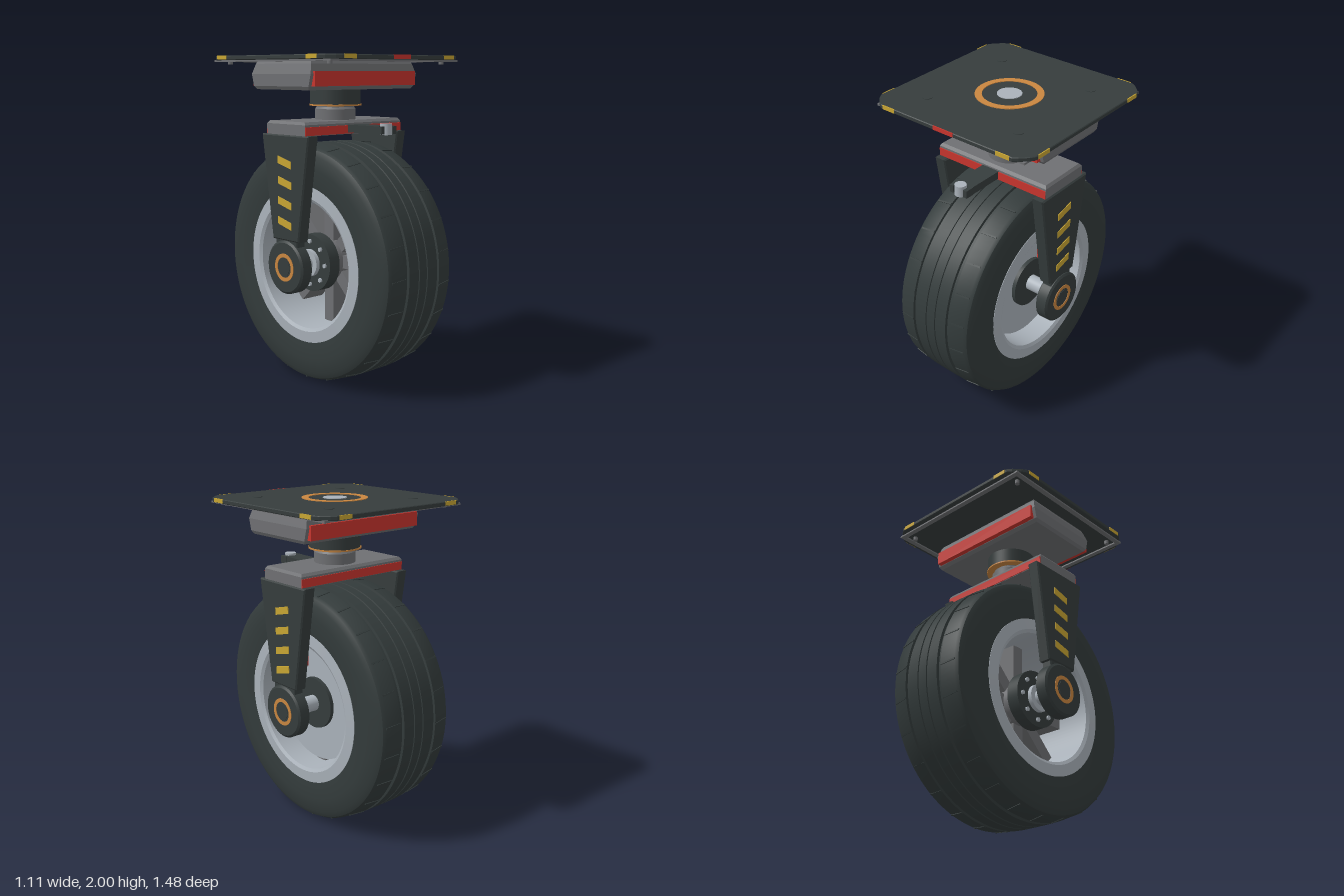
import * as THREE from 'three';
import { toCreasedNormals } from 'three/addons/utils/BufferGeometryUtils.js';
import { ConvexGeometry } from 'three/addons/geometries/ConvexGeometry.js';

const mat = (name, color) => Object.assign(new THREE.MeshStandardMaterial({ color }), { name });

export function createModel() {
  const M = {
    dark: mat('charcoal paint', 0x363d3d),
    rubber: mat('tyre rubber', 0x333b3b),
    grey: mat('grey steel', 0x6f7073),
    silver: mat('silver metal', 0xaab2ba),
    red: mat('red paint', 0xc9352e),
    orange: mat('bronze orange', 0xc98640),
    yellow: mat('warning yellow', 0xc9a633),
  };
  const model = new THREE.Group();
  model.name = 'casterWheel';
  const wheelY = 0.742;

  const add = (name, geo, m, x = 0, y = 0, z = 0, parent = model) => {
    const mesh = new THREE.Mesh(geo, m);
    mesh.name = name;
    mesh.position.set(x, y, z);
    parent.add(mesh);
    return mesh;
  };
  const box = (w, h, d) => new THREE.BoxGeometry(w, h, d);
  const cyl = (r, h, n = 48) => new THREE.CylinderGeometry(r, r, h, n);
  const cylX = (r, h, n = 48) => cyl(r, h, n).rotateZ(-Math.PI / 2);
  const lathe = (pts, n = 96) => toCreasedNormals(
    new THREE.LatheGeometry(pts.map(p => new THREE.Vector2(...p)), n), 0.5);
  const latheX = (pts, n) => lathe(pts, n).rotateZ(-Math.PI / 2);
  // flat ring of height h around the y axis
  const ring = (ri, ro, h) => lathe([[ri, -h / 2], [ro, -h / 2], [ro, h / 2], [ri, h / 2], [ri, -h / 2]], 64);
  // convex solid from rectangles [y, halfX, halfZ]
  const stack = levels => new ConvexGeometry(levels.flatMap(([y, a, b]) =>
    [[a, b], [a, -b], [-a, b], [-a, -b]].map(([x, z]) => new THREE.Vector3(x, y, z))));
  // outline in the side plane (u = -z, v = y), given a thickness along x and centred
  const sidePlate = (pts, t, bevel = 0) => {
    const g = new THREE.ExtrudeGeometry(new THREE.Shape(pts.map(p => new THREE.Vector2(...p))), {
      depth: t - 2 * bevel, bevelEnabled: bevel > 0, bevelSize: bevel, bevelOffset: -bevel,
      bevelThickness: bevel, bevelSegments: 1 });
    return g.translate(0, 0, bevel - t / 2).rotateY(Math.PI / 2);
  };

  // Mounting plate with clipped corners
  const a = 0.555, c = 0.465, m = 0.535, n = 0.495;
  const outline = [[a, c], [m, n], [n, m], [c, a], [-c, a], [-n, m], [-m, n], [-a, c],
    [-a, -c], [-m, -n], [-n, -m], [-c, -a], [c, -a], [n, -m], [m, -n], [a, -c]];
  const plate = new THREE.ExtrudeGeometry(new THREE.Shape(outline.map(p => new THREE.Vector2(...p))), {
    depth: 0.018, bevelEnabled: true, bevelSize: 0.004, bevelOffset: -0.004, bevelThickness: 0.004, bevelSegments: 1 });
  add('topPlate', plate.rotateX(-Math.PI / 2), M.dark, 0, 1.976, 0);
  add('topBronzeRing', ring(0.157, 0.197, 0.006), M.orange, 0, 1.999, 0);
  add('topPin', cyl(0.072, 0.006), M.silver, 0, 1.999, 0);
  for (const s of [-1, 1]) {
    add('plateFrameSide', box(0.03, 0.012, 1.05), M.grey, s * 0.51, 1.968, 0);
    add('plateFrameEnd', box(0.99, 0.012, 0.03), M.grey, 0, 1.968, s * 0.51);
    for (const t of [-1, 1]) {
      add('plateScrew', cyl(0.03, 0.004, 32), M.dark, s * 0.327, 1.999, t * 0.327);
      add('underBolt', cyl(0.015, 0.03, 12), M.grey, s * 0.46, 1.962, t * 0.45);
      add('yellowEdgeMark', box(0.09, 0.024, 0.006), M.yellow, s * 0.405, 1.987, t * 0.554);
      add('yellowEdgeMark', box(0.006, 0.024, 0.09), M.yellow, t * 0.554, 1.987, s * 0.405);
    }
  }
  add('redEdgeMark', box(0.14, 0.024, 0.006), M.red, 0, 1.987, 0.554);

  // Swivel housing and red panels
  add('swivelHousing', stack([[1.8, 0.425, 0.232], [1.82, 0.437, 0.248], [1.89, 0.437, 0.266],
    [1.95, 0.418, 0.25], [1.978, 0.405, 0.235]]), M.grey);
  for (const s of [-1, 1]) add('housingRedPanel', box(0.83, 0.085, 0.04), M.red, 0, 1.865, s * 0.26);

  // Swivel bearing
  add('bearingCup', cyl(0.155, 0.095, 64), M.dark, 0, 1.755, 0);
  add('bearingBronzeRing', cyl(0.16, 0.009, 64), M.orange, 0, 1.704, 0);
  add('swivelNeck', lathe([[0, 1.6], [0.125, 1.6], [0.125, 1.68], [0.115, 1.692], [0.115, 1.705]], 64), M.grey);

  // Fork crown
  add('forkCrown', stack([[1.535, 0.4, 0.172], [1.6, 0.4, 0.172], [1.616, 0.388, 0.158]]), M.grey);
  for (const s of [-1, 1]) add('crownRedStripe', box(0.796, 0.05, 0.008), M.red, 0, 1.563, s * 0.173);

  // Brake lever at the front
  add('leverArm', box(0.12, 0.046, 0.26), M.dark, 0, 1.568, 0.28);
  for (const s of [-1, 1]) add('leverProng', box(0.026, 0.046, 0.06), M.dark, s * 0.05, 1.568, 0.425);
  add('leverPin', cyl(0.035, 0.065, 32), M.silver, 0, 1.573, 0.433);

  // Fork legs with axle bosses and warning stripes
  for (const s of [-1, 1]) {
    const leg = new THREE.Group();
    leg.name = s > 0 ? 'leftForkLeg' : 'rightForkLeg';
    model.add(leg);
    add('legBlade', sidePlate([[-0.118, 0.905], [0.118, 0.905], [0.212, 1.537], [-0.212, 1.537]], 0.08, 0.008),
      M.dark, s * 0.37, 0, 0, leg);
    add('legNeck', sidePlate([[-0.1, 0.74], [0.1, 0.74], [0.096, 0.92], [-0.096, 0.92]], 0.066, 0.005),
      M.dark, s * 0.37, 0, 0, leg);
    add('axleBoss', latheX([[0, -0.043], [0.15, -0.043], [0.163, -0.033], [0.163, 0.033], [0.15, 0.043], [0, 0.043]], 64),
      M.dark, s * 0.376, wheelY, 0, leg);
    add('bossBronzeRing', ring(0.062, 0.085, 0.008).rotateZ(-Math.PI / 2), M.orange, s * 0.418, wheelY, 0, leg);
    add('axleNut', cylX(0.055, 0.008, 6), M.dark, s * 0.418, wheelY, 0, leg);
    for (let i = 0; i < 4; i++)
      add('warningStripe', sidePlate([[-0.06, -0.037], [0.06, -0.007], [0.06, 0.037], [-0.06, 0.007]], 0.006),
        M.yellow, s * 0.411, 1.01 + i * 0.1217, 0, leg);
  }
  add('brakePad', box(0.055, 0.14, 0.16), M.red, 0.307, 1.1, 0);

  // Wheel
  const wheel = new THREE.Group();
  wheel.name = 'wheel';
  wheel.position.y = wheelY;
  model.add(wheel);

  // Tyre: half profile [radius, x] mirrored, with round grooves
  const half = [[0.738, 0.029], [0.732, 0.031], [0.732, 0.038], [0.738, 0.04], [0.737, 0.115], [0.722, 0.118],
    [0.722, 0.14], [0.735, 0.143], [0.724, 0.24], [0.712, 0.26], [0.68, 0.276], [0.6, 0.281], [0.53, 0.279], [0.48, 0.272]];
  const tyre = [...half.map(([r, x]) => [r, -x]).reverse(), ...half];
  add('tyre', latheX(tyre, 128), M.rubber, 0, 0, 0, wheel);
  for (const s of [-1, 1])
    for (let i = 0; i < 24; i++) {
      const t = (i + (s > 0 ? 0.35 : 0)) / 24 * Math.PI * 2;
      const bar = new THREE.Group();
      bar.name = 'treadBar';
      bar.rotation.x = t;
      wheel.add(bar);
      const b = add('treadRidge', box(0.1, 0.012, 0.01), M.rubber, s * 0.194, 0.727, 0, bar);
      b.rotation.set(0, 0.1, -s * 0.11);
    }

  // Rim barrel, dished disc and spokes
  add('rim', latheX([[0.488, -0.276], [0.488, 0.276], [0.42, 0.28], [0.4, 0.268], [0.4, -0.268],
    [0.42, -0.28], [0.488, -0.276]]), M.silver, 0, 0, 0, wheel);
  add('wheelDisc', cylX(0.371, 0.04, 96), M.silver, 0.13, 0, 0, wheel);
  for (let i = 0; i < 8; i++) {
    const arm = new THREE.Group();
    arm.name = 'spokeArm';
    arm.rotation.x = i * Math.PI / 4;
    wheel.add(arm);
    add('spoke', box(0.17, 0.31, 0.08), M.grey, 0.03, 0.25, 0, arm);
    add('hubBolt', cylX(0.014, 0.016, 6), M.silver, -0.215, 0.135, 0, arm);
  }

  // Hub and axle
  add('hubCore', cylX(0.13, 0.3), M.grey, 0, 0, 0, wheel);
  add('outerHubFlange', cylX(0.162, 0.025, 64), M.dark, 0.162, 0, 0, wheel);
  add('innerHubFlange', cylX(0.178, 0.08, 64), M.dark, -0.17, 0, 0, wheel);
  add('hubCollar', cylX(0.085, 0.03), M.silver, -0.222, 0, 0, wheel);
  add('axle', cylX(0.05, 0.7), M.silver, 0, 0, 0, wheel);
  return model;
}
